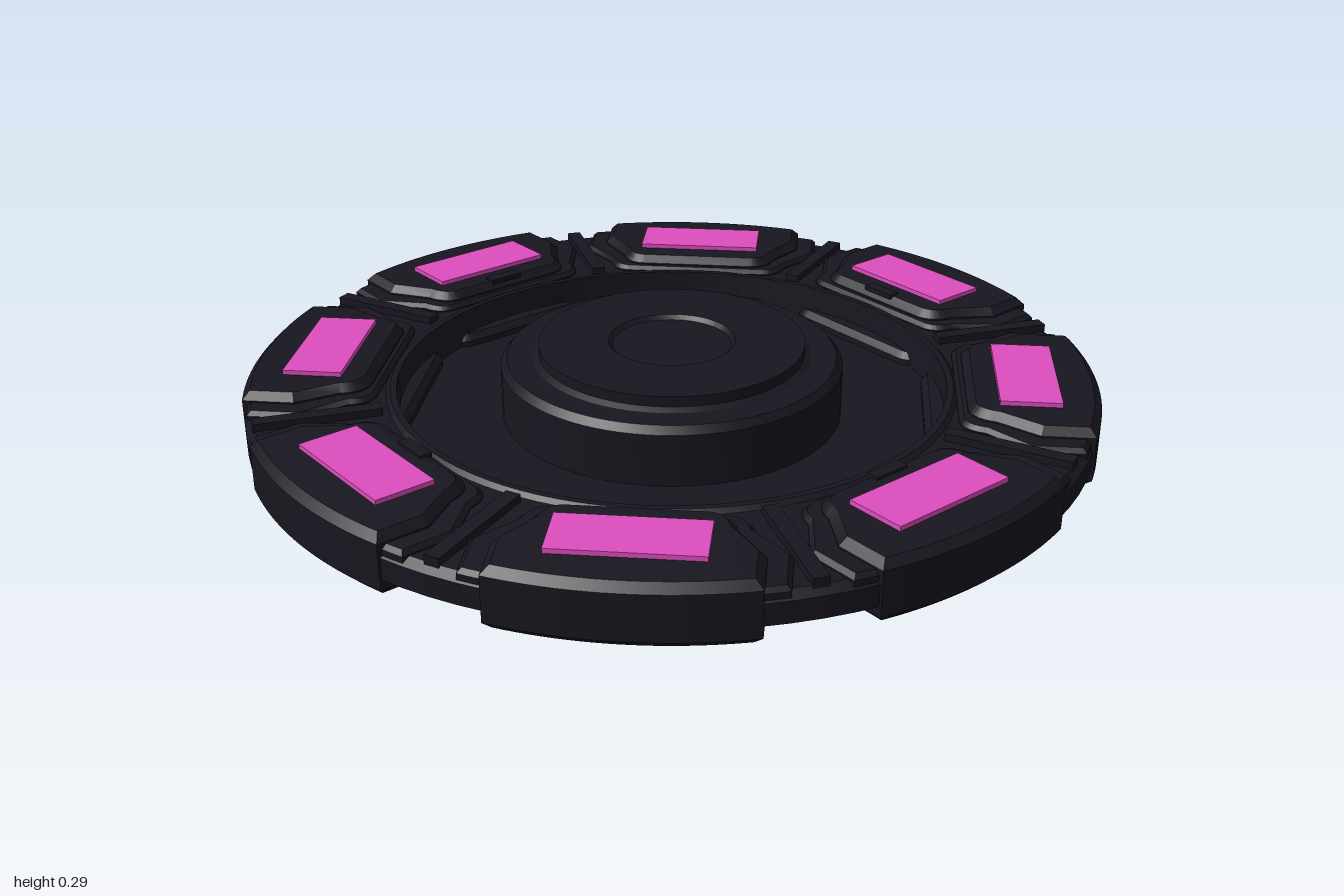
import * as THREE from 'three';
import { toCreasedNormals } from 'three/addons/utils/BufferGeometryUtils.js';

const dark = new THREE.MeshStandardMaterial({ color: 0x18161f });
const pink = new THREE.MeshStandardMaterial({ color: 0xdd4dbe });

function add(parent, name, geometry, material = dark) {
  const mesh = new THREE.Mesh(geometry, material);
  mesh.name = name;
  parent.add(mesh);
  return mesh;
}

// Turned part from [radius, height] pairs, listed from the bottom centre outwards and up
function turned(points) {
  const profile = points.map(([r, y]) => new THREE.Vector2(r, y));
  return toCreasedNormals(new THREE.LatheGeometry(profile, 96), 0.4);
}

// Rim block: curved outer edge, rounded inner corners, bevelled top and bottom
function rimBlock(outerHalf, innerHalf, inner, outer, bottom, top, bevel) {
  const b = bevel, r = outer - b;
  const a = Math.asin((outerHalf - b) / r);
  const iy = inner + b, ih = innerHalf - b, oh = outerHalf - b;
  const s = new THREE.Shape();
  s.moveTo(-ih + 0.04, iy);
  s.lineTo(ih - 0.04, iy);
  s.quadraticCurveTo(ih, iy, ih + 0.01, iy + 0.05);
  s.lineTo(oh, iy + 0.14);
  s.lineTo(oh, r * Math.cos(a));
  s.absarc(0, 0, r, Math.PI / 2 - a, Math.PI / 2 + a, false);
  s.lineTo(-oh, iy + 0.14);
  s.lineTo(-ih - 0.01, iy + 0.05);
  s.quadraticCurveTo(-ih, iy, -ih + 0.04, iy);
  const g = new THREE.ExtrudeGeometry(s, {
    depth: top - bottom - 2 * b, bevelThickness: b, bevelSize: b,
    bevelSegments: 1, curveSegments: 16,
  });
  g.rotateX(-Math.PI / 2).translate(0, bottom + b, 0);
  return toCreasedNormals(g, 0.4);
}

export function createModel() {
  const model = new THREE.Group();
  model.name = 'disc';

  // Foot, lower hull, rim and sunken floor
  add(model, 'body', turned([
    [0, 0], [0.405, 0], [0.405, 0.02], [0.66, 0.02], [0.66, 0.12],
    [0.96, 0.12], [0.995, 0.135], [0.995, 0.185], [0.975, 0.2],
    [0.675, 0.2], [0.665, 0.21], [0.65, 0.21], [0.645, 0.12], [0, 0.12],
  ]));

  // Stepped hub with a shallow dish in the middle
  add(model, 'hub', turned([
    [0.405, 0.115], [0.405, 0.245], [0.39, 0.262], [0.33, 0.262],
    [0.315, 0.27], [0.315, 0.295], [0.15, 0.295], [0.14, 0.285], [0, 0.285],
  ]));

  const flange = rimBlock(0.32, 0.23, 0.67, 0.99, 0.17, 0.213, 0.01);
  const block = rimBlock(0.27, 0.2, 0.69, 1, 0.093, 0.235, 0.018);
  const underBlock = rimBlock(0.26, 0.22, 0.6, 0.985, 0.093, 0.15, 0.015);
  const plate = new THREE.BoxGeometry(0.32, 0.02, 0.14);
  const rib = new THREE.BoxGeometry(0.035, 0.04, 0.29);
  const tab = new THREE.BoxGeometry(0.09, 0.012, 0.03);

  // Eight blocks around the rim, with ribs in the gaps
  for (let i = 0; i < 8; i++) {
    const sector = new THREE.Group();
    sector.name = 'rimSector';
    sector.rotation.y = i * Math.PI / 4;
    add(sector, 'blockFlange', flange);
    add(sector, 'rimBlock', block);
    add(sector, 'underBlock', underBlock);
    add(sector, 'lightPlate', plate, pink).position.set(0, 0.236, -0.83);
    if (i % 2 === 0) add(sector, 'innerTab', tab).position.set(0, 0.235, -0.71);
    const gap = new THREE.Group();
    gap.name = 'gap';
    gap.rotation.y = Math.PI / 8;
    add(gap, 'gapRib', rib).position.set(0, 0.198, -0.835);
    sector.add(gap);
    model.add(sector);
  }
  return model;
}
